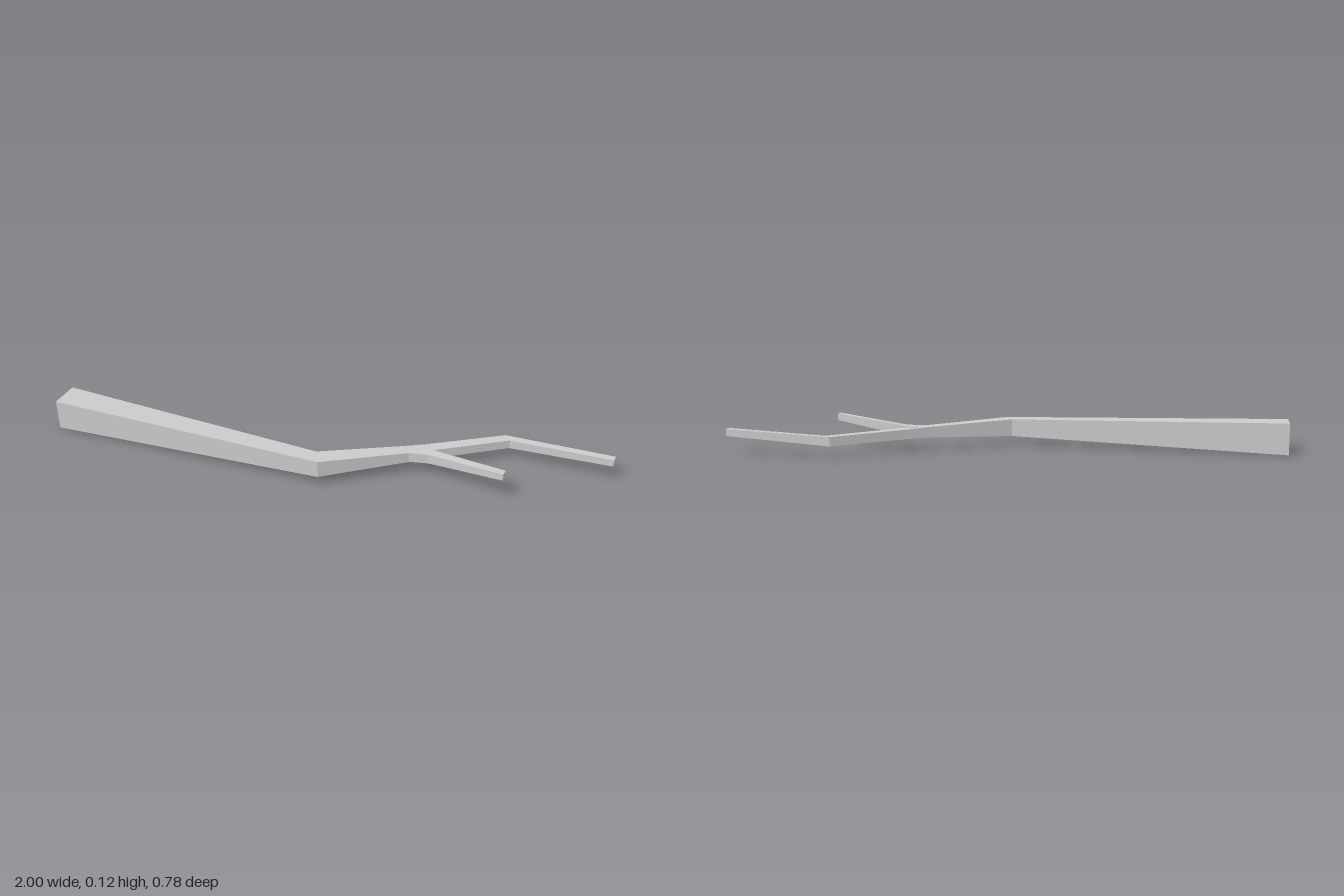
import * as THREE from 'three';

// Four-sided limb lofted through sections: [backX, backZ, frontX, frontZ, bottomY, topY]
function limb(name, sections, material) {
  const rings = sections.map(([bx, bz, fx, fz, y0, y1]) => [
    [bx, y0, bz], [bx, y1, bz], [fx, y1, fz], [fx, y0, fz],
  ]);
  const positions = [];
  const quad = (a, b, c, d) => positions.push(...a, ...b, ...c, ...a, ...c, ...d);
  for (let i = 0; i < rings.length - 1; i++) {
    const p = rings[i], q = rings[i + 1];
    for (let j = 0; j < 4; j++) {
      const k = (j + 1) % 4;
      quad(p[j], p[k], q[k], q[j]);
    }
  }
  // End caps
  const [a, b, c, d] = rings[0];
  quad(a, d, c, b);
  quad(...rings[rings.length - 1]);

  const geometry = new THREE.BufferGeometry();
  geometry.setAttribute('position', new THREE.Float32BufferAttribute(positions, 3));
  geometry.computeVertexNormals();
  const mesh = new THREE.Mesh(geometry, material);
  mesh.name = name;
  return mesh;
}

export function createModel() {
  const group = new THREE.Group();
  group.name = 'branch';
  const material = new THREE.MeshStandardMaterial({
    color: 0xcccccc, flatShading: true, side: THREE.DoubleSide,
  });

  // Main stem: thick butt, two bends, slender tip
  group.add(limb('mainStem', [
    [-0.945, -0.39, -1.0, -0.293, 0.0, 0.118],
    [-0.055, 0.14, -0.06, 0.205, 0.036, 0.101],
    [0.27, 0.132, 0.27, 0.178, 0.05, 0.09],
    [0.35, 0.126, 0.355, 0.168, 0.05, 0.086],
    [0.655, 0.096, 0.662, 0.132, 0.044, 0.078],
    [1.0, 0.303, 0.985, 0.325, 0.068, 0.094],
  ], material));

  // Side twig: leaves the fork and rises toward the front
  group.add(limb('sideTwig', [
    [0.34, 0.15, 0.27, 0.176, 0.051, 0.089],
    [0.355, 0.168, 0.342, 0.202, 0.055, 0.092],
    [0.575, 0.37, 0.56, 0.39, 0.096, 0.122],
  ], material));

  return group;
}
